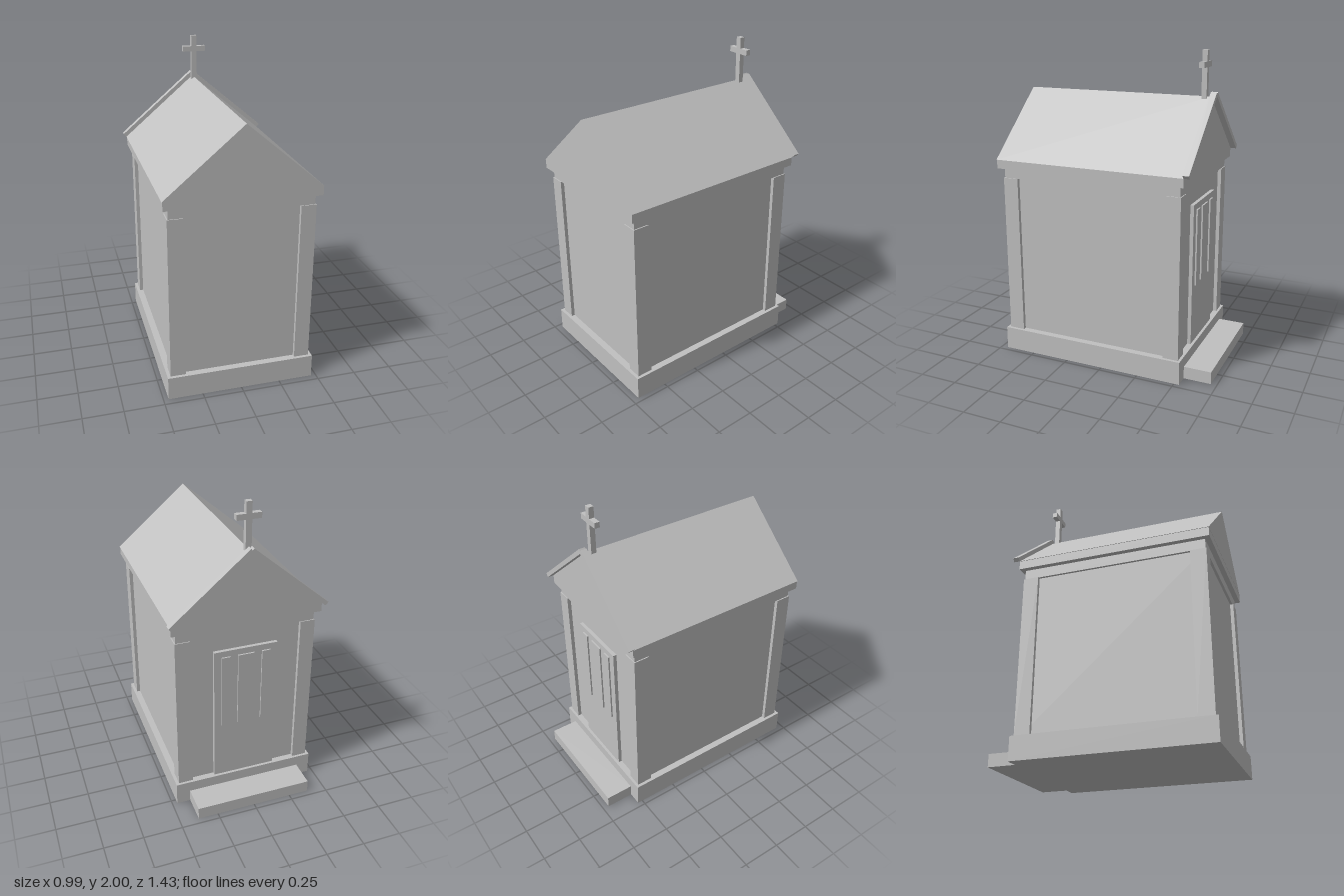
import * as THREE from 'three';

export function createModel() {
  const group = new THREE.Group();
  const stone = new THREE.MeshStandardMaterial({ color: 0xc0c0c0 });
  stone.name = 'grey stone';

  const add = (name, geometry) => {
    const mesh = new THREE.Mesh(geometry, stone);
    mesh.name = name;
    group.add(mesh);
    return mesh;
  };
  // Box given by its lower and upper limits on each axis
  const box = (name, x0, x1, y0, y1, z0, z1) => {
    const g = new THREE.BoxGeometry(x1 - x0, y1 - y0, z1 - z0);
    g.translate((x0 + x1) / 2, (y0 + y1) / 2, (z0 + z1) / 2);
    return add(name, g);
  };

  // Plinth and entrance step
  box('plinth', -0.468, 0.468, 0, 0.15, -0.533, 0.706);
  box('step', -0.38, 0.38, 0, 0.08, -0.711, -0.533);

  // Recessed walls with a pillar at each corner
  box('walls', -0.425, 0.425, 0.15, 1.19, -0.492, 0.663);
  for (const side of [-1, 1]) {
    const x0 = side < 0 ? -0.448 : 0.353;
    const x1 = side < 0 ? -0.353 : 0.448;
    box('backPillar', x0, x1, 0.15, 1.19, -0.516, -0.415);
    box('frontPillar', x0, x1, 0.15, 1.19, 0.585, 0.686);
  }

  // Frieze and cornice
  box('frieze', -0.441, 0.441, 1.19, 1.255, -0.51, 0.68);
  box('cornice', -0.475, 0.475, 1.255, 1.312, -0.539, 0.713);

  // Solid gabled roof
  const eaveX = 0.479, eaveY = 1.312, ridgeY = 1.72;
  const gable = new THREE.Shape([
    new THREE.Vector2(-eaveX, eaveY),
    new THREE.Vector2(eaveX, eaveY),
    new THREE.Vector2(0, ridgeY),
  ]);
  const roof = new THREE.ExtrudeGeometry(gable, { depth: 1.253, bevelEnabled: false });
  roof.translate(0, 0, -0.539);
  add('roof', roof);

  // Raking trim over the entrance gable
  const slope = Math.atan2(ridgeY - eaveY, eaveX);
  const length = Math.hypot(eaveX, ridgeY - eaveY) + 0.011;
  for (const side of [-1, 1]) {
    const g = new THREE.BoxGeometry(length, 0.027, 0.039);
    g.translate(side * (length / 2 - 0.011), 0.0135, 0);
    g.rotateZ(-side * slope);
    g.translate(0, ridgeY, -0.5585);
    add('gableTrim', g);
  }

  // Door with raised grille plates
  box('door', -0.205, 0.205, 0.15, 1.08, -0.515, -0.49);
  for (const [x, w] of [[-0.13, 0.055], [0, 0.105], [0.13, 0.055]]) {
    box('doorGrille', x - w / 2, x + w / 2, 0.54, 1.04, -0.525, -0.515);
  }

  // Cross on the ridge
  box('crossPost', -0.018, 0.018, 1.7, 2, -0.515, -0.482);
  for (const side of [-1, 1]) {
    box('crossArm', side < 0 ? -0.076 : 0.018, side < 0 ? -0.018 : 0.076, 1.895, 1.93, -0.515, -0.482);
  }

  return group;
}
